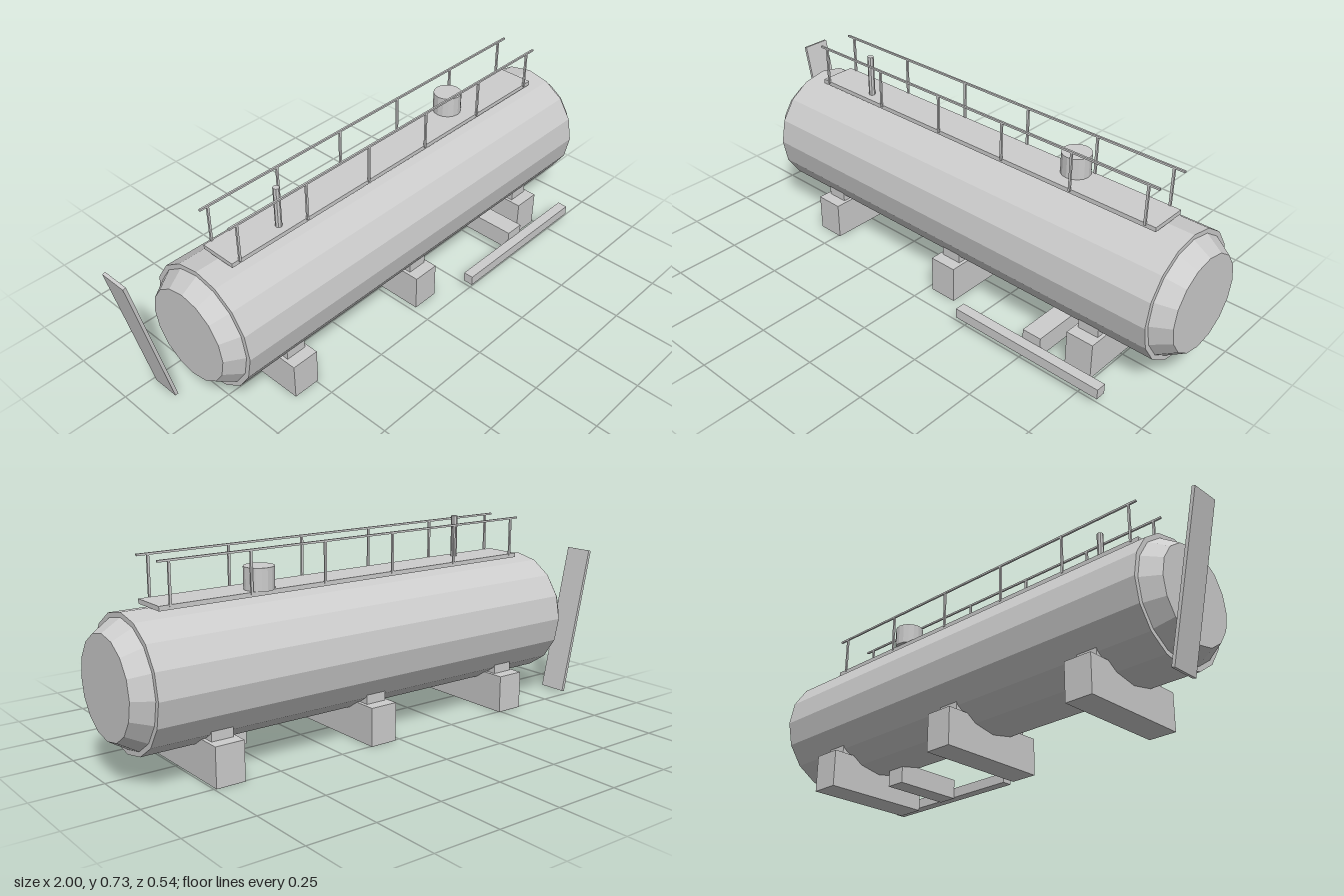
import * as THREE from 'three';

export function createModel() {
  const model = new THREE.Group();
  model.name = 'storageTank';
  const steel = new THREE.MeshStandardMaterial({ color: 0xcccccc });
  steel.name = 'light grey steel';
  steel.flatShading = true;

  const add = (name, geometry, x = 0, y = 0, z = 0, parent = model) => {
    const mesh = new THREE.Mesh(geometry, steel);
    mesh.name = name;
    mesh.position.set(x, y, z);
    parent.add(mesh);
    return mesh;
  };
  // Box given by its extents along each axis
  const box = (name, [x0, x1], [y0, y1], [z0, z1], parent) =>
    add(name, new THREE.BoxGeometry(x1 - x0, y1 - y0, z1 - z0),
      (x0 + x1) / 2, (y0 + y1) / 2, (z0 + z1) / 2, parent);

  // Tank shell with stepped, tapered ends, lying along x
  const profile = [
    [0, -0.85], [0.173, -0.85], [0.213, -0.787], [0.23, -0.787],
    [0.23, 0.935], [0.213, 0.935], [0.173, 1], [0, 1],
  ].map(([r, x]) => new THREE.Vector2(r, x));
  const tank = add('tank', new THREE.LatheGeometry(profile, 16), 0, 0.325, -0.04);
  tank.rotation.z = -Math.PI / 2;

  // Ground beams with saddles reaching up into the tank
  for (const x of [-0.545, 0.073, 0.69]) {
    const support = new THREE.Group();
    support.name = 'support';
    model.add(support);
    box('beam', [x - 0.053, x + 0.053], [0, 0.14], [-0.255, 0.175], support);
    box('saddle', [x - 0.04, x + 0.04], [0.14, 0.2], [-0.21, 0.13], support);
  }

  // Walkway on top, with a railing along each side
  box('walkway', [-0.697, 0.84], [0.556, 0.572], [-0.11, 0.029]);
  for (const z of [0.03, -0.109]) {
    const railing = new THREE.Group();
    railing.name = 'railing';
    model.add(railing);
    box('handrail', [-0.697, 0.84], [0.707, 0.714], [z - 0.0035, z + 0.0035], railing);
    for (let i = 0; i < 6; i++) {
      const x = -0.665 + i * 0.293;
      box('post', [x - 0.004, x + 0.004], [0.565, 0.708], [z - 0.0035, z + 0.0035], railing);
    }
  }

  // Filler hatch and vent pipe
  add('hatch', new THREE.CylinderGeometry(0.053, 0.053, 0.078, 16), 0.455, 0.61, -0.072);
  add('ventPipe', new THREE.CylinderGeometry(0.012, 0.012, 0.156, 8), -0.465, 0.649, -0.009);

  // Step bar at the front, carried by a bracket under the tank
  box('stepBar', [0.23, 0.84], [0.037, 0.075], [0.233, 0.272]);
  box('stepBracket', [0.5, 0.575], [0.033, 0.11], [-0.04, 0.234]);

  // Leaning ladder plate at the end
  const ladder = add('ladder', new THREE.BoxGeometry(0.012, 0.573, 0.107), -0.934, 0.286, -0.179);
  ladder.rotation.z = Math.atan2(0.119, 0.56);

  return model;
}
